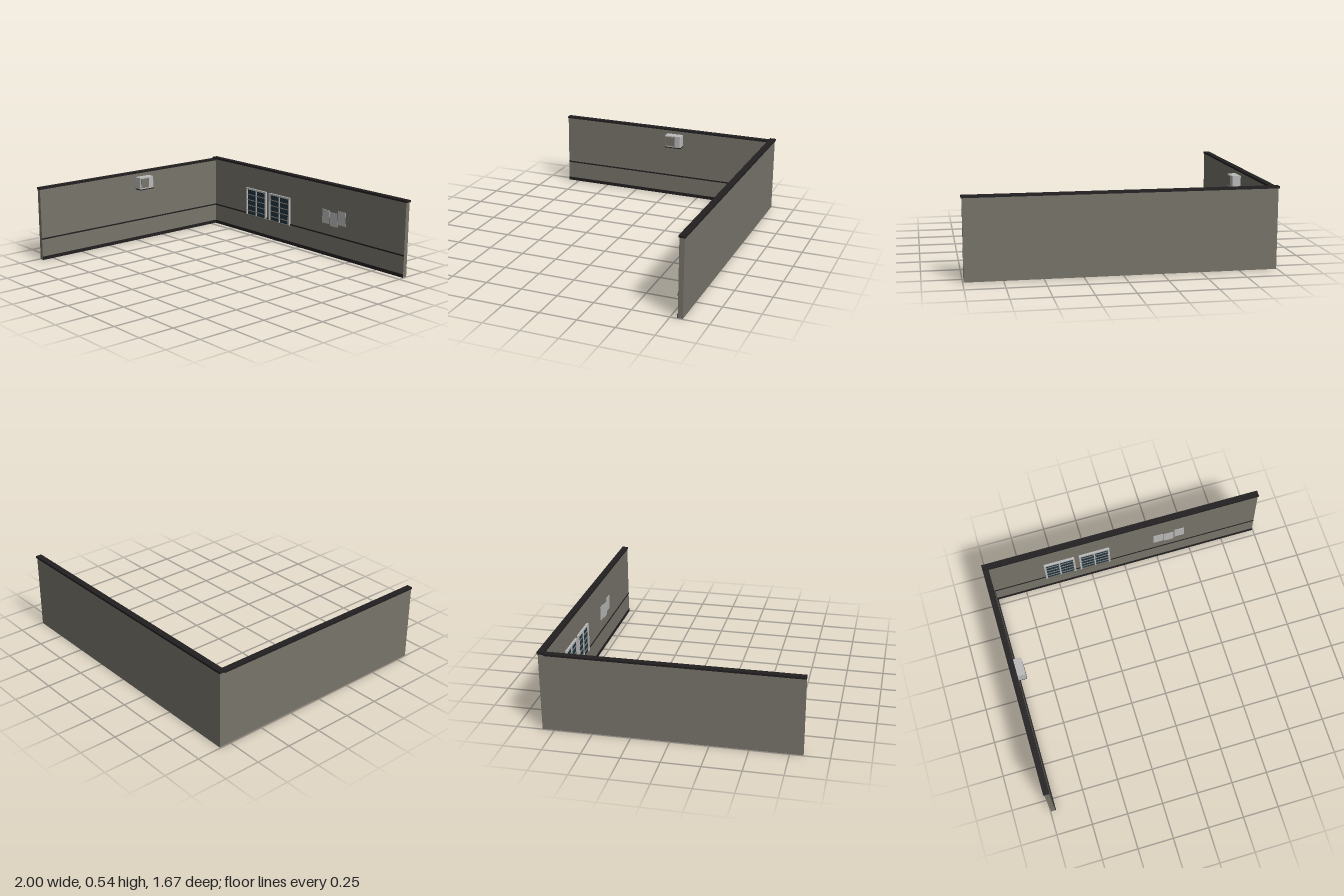
import * as THREE from 'three';

const mat = (name, color) => Object.assign(new THREE.MeshStandardMaterial({ color }), { name });

export function createModel() {
  const root = new THREE.Group();
  root.name = 'cornerWalls';
  const plaster = mat('plaster', 0x77746a);
  const trim = mat('darkTrim', 0x221f20);
  const pale = mat('paleGrey', 0xbababa);
  const glass = mat('glass', 0x233742);
  const bar = mat('windowBar', 0x8c8a82);
  const sillMat = mat('sill', 0x6a675f);

  // Box given by its minimum and maximum corners
  function box(name, m, [x0, x1], [y0, y1], [z0, z1], parent = root) {
    const mesh = new THREE.Mesh(new THREE.BoxGeometry(x1 - x0, y1 - y0, z1 - z0), m);
    mesh.position.set((x0 + x1) / 2, (y0 + y1) / 2, (z0 + z1) / 2);
    mesh.name = name;
    parent.add(mesh);
    return mesh;
  }

  // Walls and copings
  const face = -0.797, side = -0.965;
  box('backWall', plaster, [-0.995, 0.994], [0, 0.526], [-0.83, face]);
  box('sideWall', plaster, [-0.995, side], [0, 0.518], [face, 0.834]);
  box('backCoping', trim, [-1, 1], [0.524, 0.538], [-0.836, -0.793]);
  box('sideCoping', trim, [-1, -0.959], [0.516, 0.529], [-0.793, 0.836]);

  // Skirting and rail on the inner faces
  for (const [name, y0, y1, d] of [['skirting', 0, 0.024, 0.004], ['rail', 0.15, 0.16, 0.003]]) {
    box(name + 'Back', trim, [side, 0.994], [y0, y1], [face, face + d]);
    box(name + 'Side', trim, [side, side + d], [y0, y1], [face, 0.834]);
  }

  // Two framed windows with glazing bars
  for (const cx of [-0.474, -0.217]) {
    const win = new THREE.Group();
    win.name = 'window';
    win.position.set(cx, 0, face);
    root.add(win);
    const w = 0.112, t = 0.013, y0 = 0.15, y1 = 0.36;
    box('glass', glass, [-w + t, w - t], [y0, y1 - t], [0, 0.006], win);
    box('frameTop', pale, [-w, w], [y1 - t, y1], [0, 0.015], win);
    for (const s of [-1, 1]) {
      const c = s * (w - t / 2);
      box('frameSide', pale, [c - t / 2, c + t / 2], [y0, y1 - t], [0, 0.015], win);
    }
    box('mullion', pale, [-0.005, 0.005], [y0, y1 - t], [0.004, 0.012], win);
    for (const y of [0.18, 0.222, 0.264, 0.307])
      box('glazingBar', bar, [-w + t, w - t], [y - 0.003, y + 0.003], [0.004, 0.009], win);
    box('sill', sillMat, [-w - 0.003, w + 0.003], [0.141, y0], [0, 0.018], win);
  }

  // Three sheets pinned to the back wall
  for (const [x, y] of [[0.262, 0.289], [0.339, 0.278], [0.417, 0.3]])
    box('wallSheet', pale, [x - 0.036, x + 0.036], [y - 0.051, y + 0.051], [face, face + 0.003]);

  // Cooling unit on the side wall: chamfered body, grille and dark tray
  const unit = new THREE.Group();
  unit.name = 'coolingUnit';
  root.add(unit);
  const x1 = -0.904, c = 0.006, za = -0.126, zb = 0;
  const outline = new THREE.Shape([
    [side, -za], [x1 - c, -za], [x1, -za - c], [x1, -zb + c], [x1 - c, -zb], [side, -zb],
  ].map(([x, y]) => new THREE.Vector2(x, y)));
  const body = new THREE.Mesh(
    new THREE.ExtrudeGeometry(outline, { depth: 0.087, bevelEnabled: false }), pale);
  body.rotation.x = -Math.PI / 2;
  body.position.y = 0.403;
  body.name = 'unitBody';
  unit.add(body);
  box('unitGrille', plaster, [x1, x1 + 0.002], [0.412, 0.482], [-0.08, -0.008], unit);
  box('unitTray', trim, [side, x1], [0.396, 0.403], [za, zb], unit);

  return root;
}
